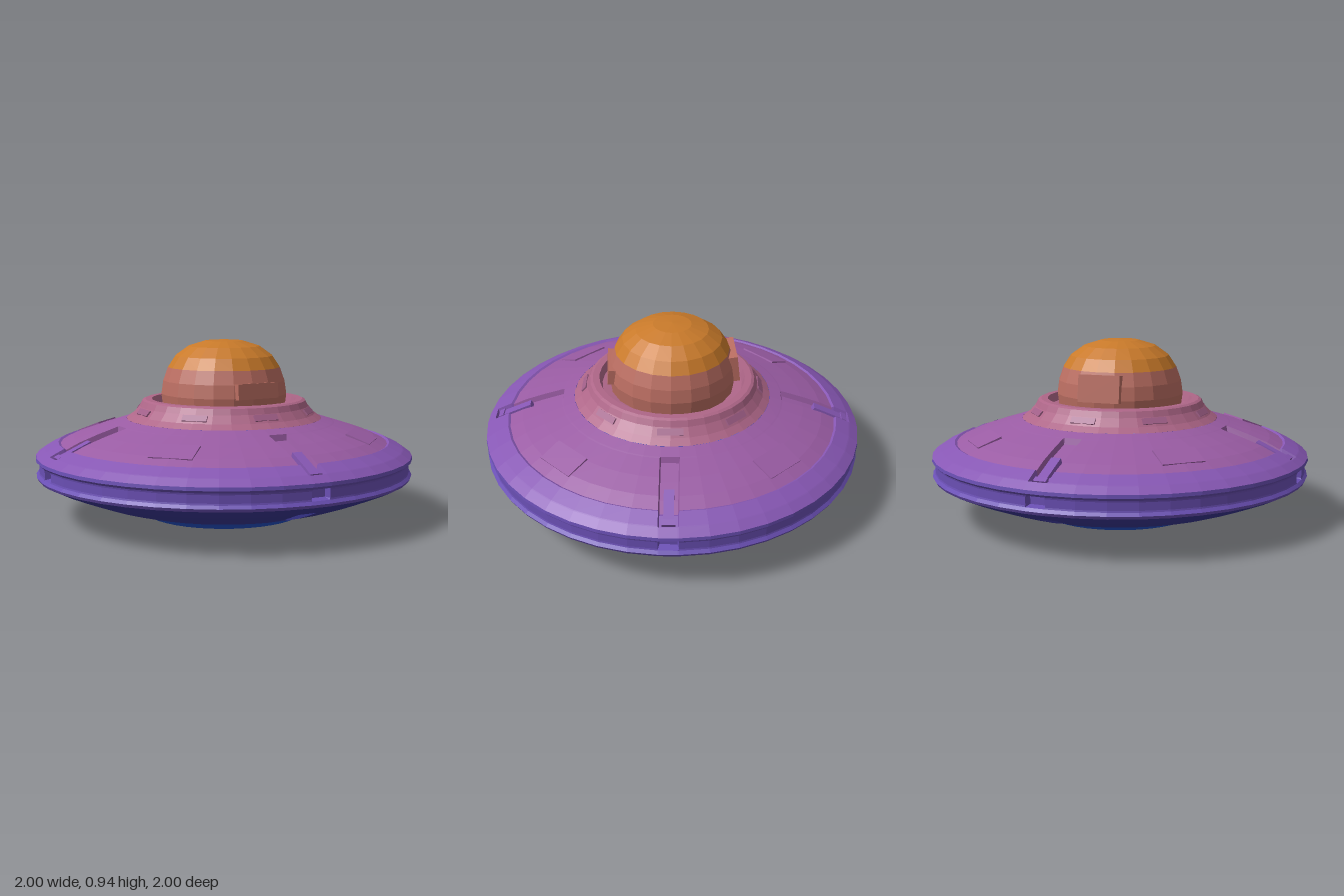
import * as THREE from 'three';

const mat = (color) => new THREE.MeshStandardMaterial({ color, flatShading: true, side: THREE.DoubleSide });

// Angles around a ring of radius r: each quadrant starts with a slot of constant width.
const GAPS = 10;
function ringAngles(r) {
  const inner = Math.asin(Math.min(0.6, 0.044 / r));
  const outer = Math.asin(Math.min(0.65, 0.05 / r));
  const angles = [];
  for (let q = 0; q < 4; q++) {
    const base = q * Math.PI / 2;
    angles.push([base - inner, true], [base + inner, true]);
    for (let k = 0; k <= GAPS; k++) {
      angles.push([base + outer + (Math.PI / 2 - 2 * outer) * k / GAPS, false]);
    }
  }
  return angles;
}

// Turned shell. Rows run bottom to top: [radius, y, slot radius offset, slot y offset].
function shell(name, color, rows) {
  const pos = [], index = [];
  const n = 4 * (GAPS + 3);
  for (const [r, y, dr = 0, dy = 0] of rows) {
    for (const [a, slot] of ringAngles(r)) {
      const rr = slot ? r + dr : r;
      pos.push(rr * Math.sin(a), slot ? y + dy : y, rr * Math.cos(a));
    }
  }
  for (let i = 0; i < rows.length - 1; i++) {
    for (let j = 0; j < n; j++) {
      const a = i * n + j, b = i * n + (j + 1) % n;
      index.push(a, b, b + n, a, b + n, a + n);
    }
  }
  const geo = new THREE.BufferGeometry();
  geo.setAttribute('position', new THREE.Float32BufferAttribute(pos, 3));
  geo.setIndex(index);
  geo.computeVertexNormals();
  const mesh = new THREE.Mesh(geo, mat(color));
  mesh.name = name;
  return mesh;
}

function lathe(name, color, points, segments) {
  const geo = new THREE.LatheGeometry(points.map(([x, y]) => new THREE.Vector2(x, y)), segments);
  const mesh = new THREE.Mesh(geo, mat(color));
  mesh.name = name;
  return mesh;
}

// Box placed at an angle around the axis, tilted to follow the slope.
function radialBox(name, color, size, angle, r, y, tilt = 0) {
  const mesh = new THREE.Mesh(new THREE.BoxGeometry(...size), mat(color));
  mesh.position.set(0, y, r);
  mesh.rotation.x = tilt;
  const pivot = new THREE.Group();
  pivot.name = name;
  pivot.rotation.y = angle;
  pivot.add(mesh);
  return pivot;
}

export function createModel() {
  const craft = new THREE.Group();
  craft.name = 'flyingSaucer';

  // Base ring with a recessed thruster
  craft.add(lathe('thruster', 0x2238a0, [[0, 0.06], [0.2, 0.06], [0.26, 0.045]], 24));
  craft.add(lathe('baseRing', 0x2350c8, [
    [0.26, 0.045], [0.29, 0.012], [0.34, 0.012], [0.36, 0.03], [0.38, 0.03], [0.39, 0],
    [0.42, 0.005], [0.46, 0.03], [0.52, 0.055]], 40));

  // Belly with four radial slots
  craft.add(shell('belly', 0x3a3794, [
    [0.52, 0.055], [0.59, 0.068], [0.595, 0.069, 0, 0.03], [0.7, 0.1, 0, 0.03],
    [0.79, 0.133, 0, 0.03], [0.865, 0.163, 0, 0.03], [0.87, 0.165], [0.94, 0.195], [0.99, 0.22]]));

  // Grooved rim with four recessed ports
  craft.add(shell('rim', 0x6a4fb4, [
    [0.99, 0.22], [0.998, 0.235], [0.985, 0.25], [0.983, 0.258, -0.035], [0.983, 0.297, -0.035],
    [0.985, 0.305], [1, 0.318], [0.998, 0.335]]));

  // Upper hull: raised lip, then a sloping deck with four radial channels
  craft.add(shell('rimLip', 0x8757b4, [
    [0.998, 0.335], [0.955, 0.365], [0.95, 0.368, 0, -0.028], [0.88, 0.402, 0, -0.03],
    [0.868, 0.396, 0, -0.026]]));
  craft.add(shell('deck', 0x9a5ca4, [
    [0.868, 0.396, 0, -0.026], [0.8, 0.428, 0, -0.03], [0.7, 0.463, 0, -0.03],
    [0.59, 0.497, 0, -0.028], [0.582, 0.5], [0.52, 0.52]]));

  // Collar around the dome
  craft.add(lathe('collar', 0xae6688, [
    [0.52, 0.52], [0.485, 0.545], [0.45, 0.585], [0.435, 0.615], [0.42, 0.622], [0.385, 0.622],
    [0.37, 0.58], [0.29, 0.57]], 32));

  // Dome in two colour bands
  craft.add(lathe('domeLower', 0xbb6e62, [[0.325, 0.57], [0.335, 0.65], [0.325, 0.72], [0.3, 0.79]], 20));
  craft.add(lathe('domeUpper', 0xc97a2a, [
    [0.3, 0.79], [0.26, 0.85], [0.19, 0.9], [0.1, 0.928], [0, 0.935]], 20));

  // Dome panels: a standing hatch at the back, a shallow one at the front
  craft.add(radialBox('backHatch', 0xbb6e62, [0.22, 0.14, 0.1], Math.PI + 0.08, 0.29, 0.705, -0.12));
  craft.add(radialBox('frontPanel', 0xbb6e62, [0.24, 0.08, 0.08], 0.08, 0.298, 0.685, -0.08));

  for (let q = 0; q < 4; q++) {
    const a = q * Math.PI / 2;
    // Latch inside each deck channel
    craft.add(radialBox('channelLatch', 0x8757b4, [0.05, 0.03, 0.16], a, 0.83, 0.395, 0.42));
    craft.add(radialBox('channelBolt', 0x8757b4, [0.065, 0.03, 0.03], a, 0.92, 0.36, 0.45));
    // Shallow access panel between channels
    craft.add(radialBox('deckPanel', 0x9a5ca4, [0.22, 0.015, 0.13], a + Math.PI / 4, 0.745, 0.444, 0.37));
  }

  // Slit windows around the collar
  for (let i = 0; i < 8; i++) {
    craft.add(radialBox('collarWindow', 0xa05f88, [0.13, 0.012, 0.035], i * Math.PI / 4, 0.462, 0.567, 0.85));
  }
  return craft;
}
